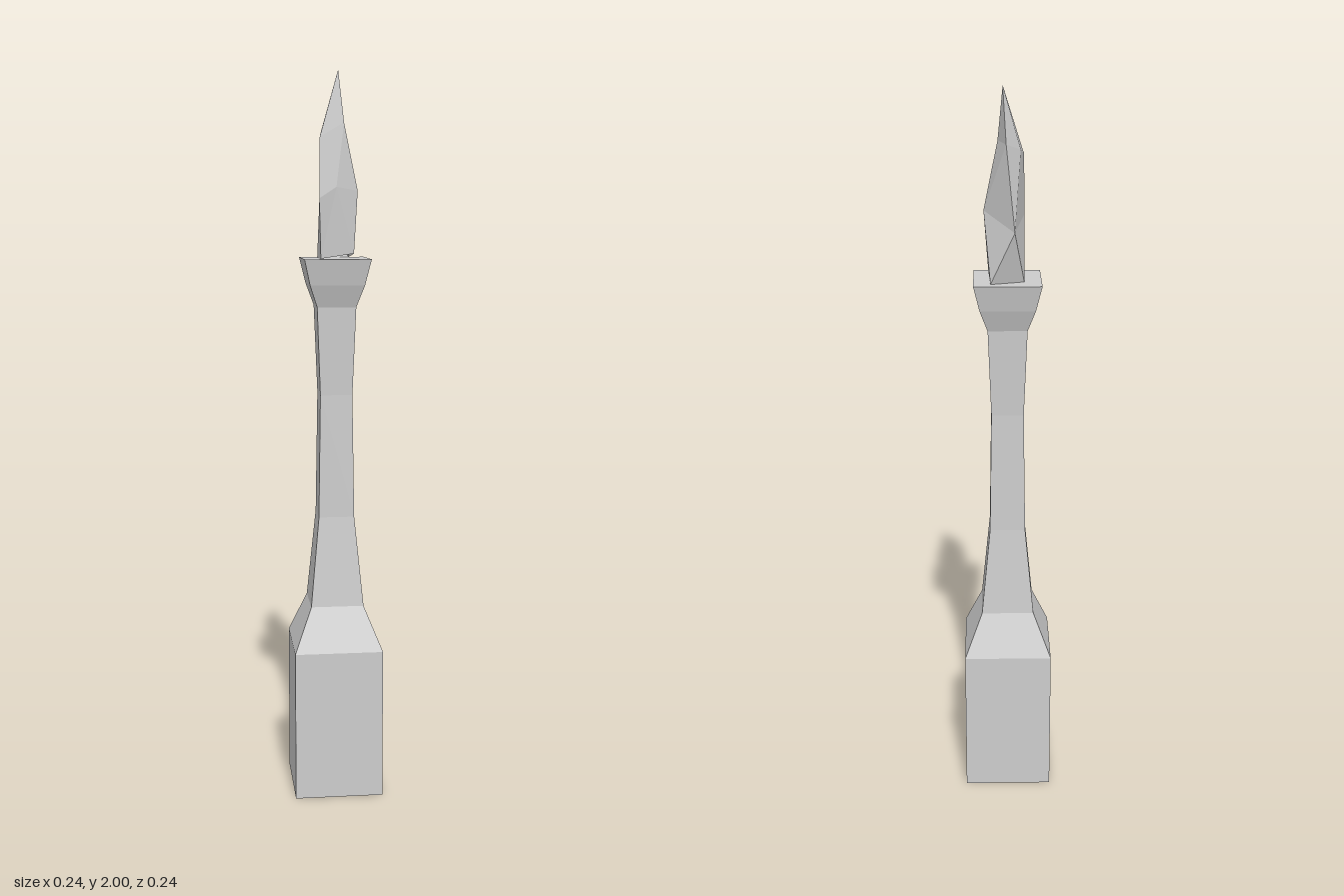
import * as THREE from 'three';

const stone = new THREE.MeshStandardMaterial({ color: 0xcccccc, side: THREE.DoubleSide });
stone.name = 'paleStone';

// Flat-shaded mesh with hard edges
function facetedMesh(geometry, name) {
  const flat = geometry.index ? geometry.toNonIndexed() : geometry;
  flat.computeVertexNormals();
  const mesh = new THREE.Mesh(flat, stone);
  mesh.name = name;
  return mesh;
}

// Square pedestal, open underneath: [half width, height] up the profile
function createPedestal() {
  const profile = [
    [0.122, 0], [0.122, 0.42], [0.073, 0.54], [0.049, 0.79],
    [0.044, 1.13], [0.053, 1.37], [0.074, 1.43], [0.09, 1.5], [0, 1.5],
  ].map(([half, y]) => new THREE.Vector2(half * Math.SQRT2, y));
  return facetedMesh(new THREE.LatheGeometry(profile, 4, Math.PI / 4), 'pedestal');
}

// Irregular faceted flame: three twisted rings of four corners and a tip
function createFlame() {
  const corners = [
    // foot ring 0-3
    [-0.042, 1.5, 0.043], [0.05, 1.513, 0.023], [0.045, 1.5, -0.066], [-0.044, 1.5, -0.04],
    // widest ring 4-7
    [-0.047, 1.66, 0.057], [0, 1.69, 0.045], [0.062, 1.68, 0.004], [-0.018, 1.64, -0.09],
    // upper ring 8-11
    [-0.044, 1.82, 0.038], [0.025, 1.86, 0.002], [0.004, 1.86, -0.067], [-0.034, 1.84, -0.023],
    // tip 12
    [0.012, 2, -0.026],
  ];
  const faces = [
    // foot to widest ring
    [0, 1, 5], [0, 5, 4], [1, 6, 5], [1, 2, 6], [2, 7, 6], [2, 3, 7], [3, 4, 7], [3, 0, 4],
    // widest to upper ring
    [4, 5, 8], [5, 9, 8], [5, 6, 9], [6, 10, 9], [6, 7, 10], [7, 11, 10], [7, 4, 11], [4, 8, 11],
    // upper ring to tip
    [8, 9, 12], [9, 10, 12], [10, 11, 12], [11, 8, 12],
  ];
  const geometry = new THREE.BufferGeometry();
  geometry.setAttribute('position', new THREE.Float32BufferAttribute(corners.flat(), 3));
  geometry.setIndex(faces.flat());
  return facetedMesh(geometry, 'flame');
}

export function createModel() {
  const group = new THREE.Group();
  group.name = 'torchPillar';
  group.add(createPedestal(), createFlame());
  return group;
}
